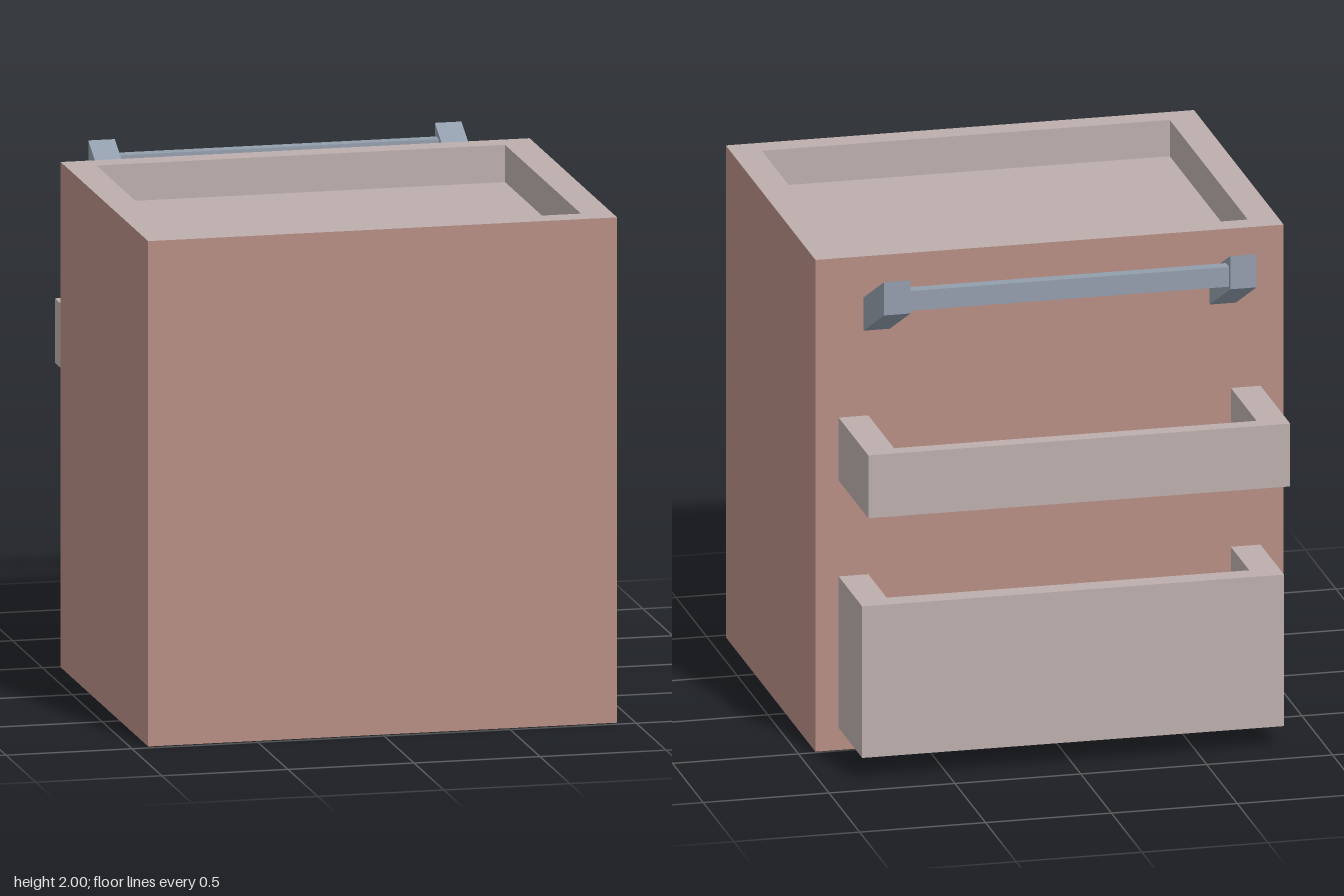
import * as THREE from 'three';

const mat = (name, color) => {
  const m = new THREE.MeshStandardMaterial({ color });
  m.name = name;
  return m;
};

export function createModel() {
  const brown = mat('warm brown', 0xb58c82);
  const grey = mat('pale taupe', 0xbbaeab);
  const slate = mat('slate blue', 0x929dab);

  const root = new THREE.Group();
  root.name = 'caddy';
  const group = (name) => {
    const g = new THREE.Group();
    g.name = name;
    root.add(g);
    return g;
  };

  // Box between two corners; faces are ordered +x, -x, +y, -y, +z, -z
  const box = (parent, name, [x0, x1], [y0, y1], [z0, z1], material) => {
    const mesh = new THREE.Mesh(new THREE.BoxGeometry(x1 - x0, y1 - y0, z1 - z0), material);
    mesh.position.set((x0 + x1) / 2, (y0 + y1) / 2, (z0 + z1) / 2);
    mesh.name = name;
    parent.add(mesh);
    return mesh;
  };

  // Main block, whose top is the floor of a shallow tray
  const B = brown, G = grey, S = slate;
  const body = group('body');
  const W = 0.93, inner = 0.81, back = -0.49, front = 0.975;
  const innerBack = -0.395, innerFront = 0.877, floorY = 1.85, topY = 1.997;
  box(body, 'block', [-W, W], [0, floorY], [back, front], [B, B, G, B, B, B]);
  box(body, 'trayFrontWall', [-W, W], [floorY, topY], [innerFront, front], [B, B, G, B, B, G]);
  box(body, 'trayBackWall', [-W, W], [floorY, topY], [back, innerBack], [B, B, G, B, G, B]);
  box(body, 'trayLeftWall', [inner, W], [floorY, topY], [innerBack, innerFront], [B, G, G, B, B, B]);
  box(body, 'trayRightWall', [-W, -inner], [floorY, topY], [innerBack, innerFront], [G, B, G, B, B, B]);

  // Open bins on the back, with a slate underside
  const bin = (name, y0, y1, outerZ, innerZ, floor) => {
    const g = group(name);
    const w = 0.838, iw = 0.72;
    box(g, 'binFloor', [-w, w], [y0, floor], [outerZ, back], [G, G, G, S, G, G]);
    box(g, 'binOuterWall', [-w, w], [floor, y1], [outerZ, innerZ], grey);
    box(g, 'binLeftWall', [iw, w], [floor, y1], [innerZ, back], grey);
    box(g, 'binRightWall', [-w, -iw], [floor, y1], [innerZ, back], grey);
  };
  bin('upperBin', 1.095, 1.35, -0.975, -0.91, 1.15);
  bin('lowerBin', 0.09, 0.705, -0.875, -0.79, 0.15);

  // Rail: two rising arms (boxes sheared upward) and a bar between them
  const rail = group('rail');
  const armBack = -0.83, rise = 0.17;
  for (const side of [-1, 1]) {
    const arm = box(rail, side > 0 ? 'leftArm' : 'rightArm',
      [side * 0.6875 - 0.0525, side * 0.6875 + 0.0525], [1.695, 1.83], [armBack, back], slate);
    const p = arm.geometry.attributes.position;
    for (let i = 0; i < p.count; i++) if (p.getZ(i) < 0) p.setY(i, p.getY(i) + rise);
    arm.geometry.computeVertexNormals();
  }
  box(rail, 'bar', [-0.64, 0.64], [1.87, 1.95], [-0.812, -0.762], slate);

  return root;
}
